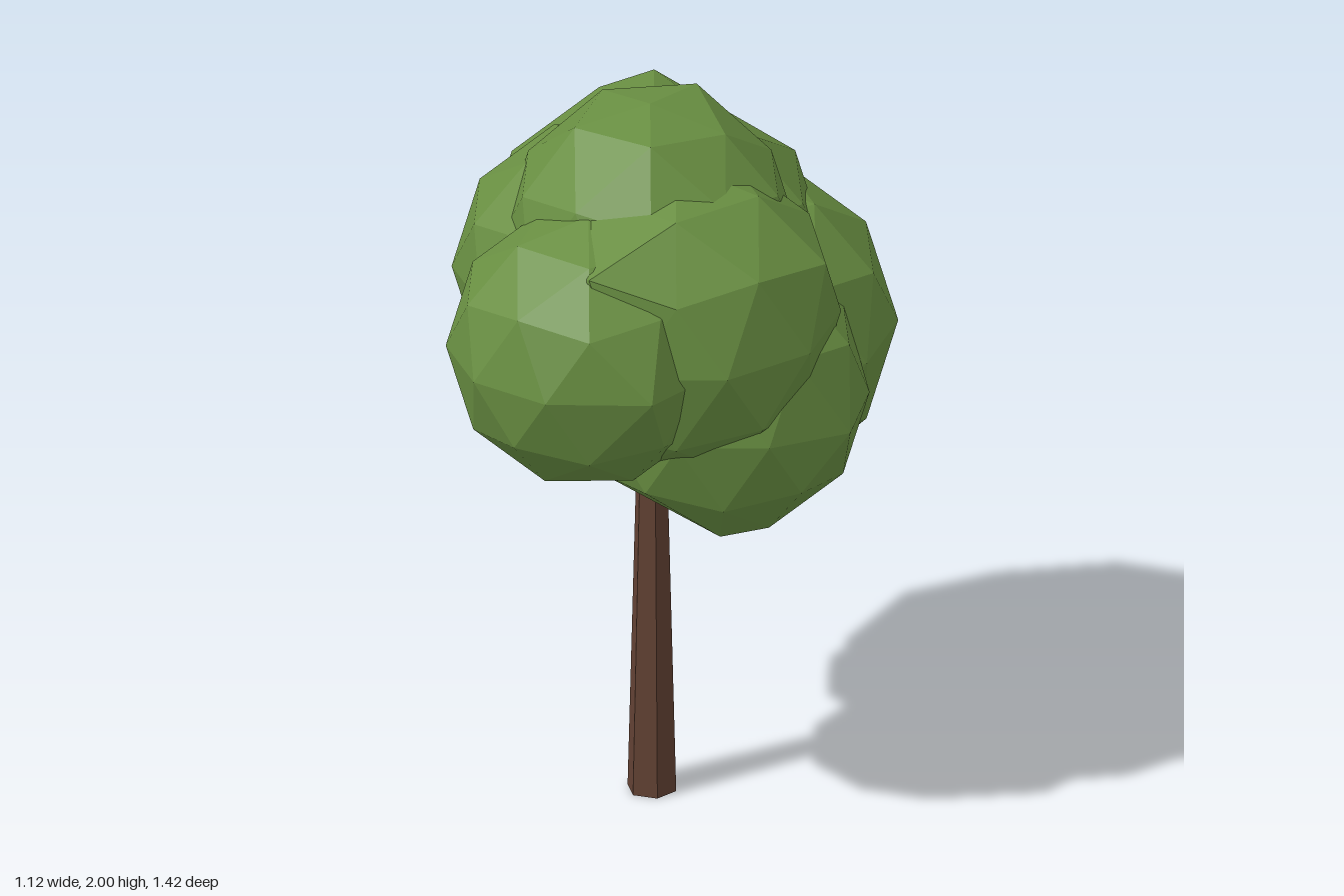
import * as THREE from 'three';

// Leaf clumps: name, centre, radius, and the uneven corners that stick out of the regular shape
const CLUMPS = [
  ['frontClump', [-0.1, 1.43, 0.333], 0.375, [[0.25, 1.43, 0.45], [-0.46, 1.43, 0.2], [0.17, 1.43, 0.63]]],
  ['frontLeftClump', [0.075, 1.46, 0.13], 0.435, [[-0.03, 1.73, 0.55], [0.49, 1.66, 0.13]]],
  ['crownClump', [-0.03, 1.605, 0.02], 0.395,
    [[0.035, 1.975, 0.22], [0.035, 1.975, -0.18], [-0.2, 1.96, 0.14], [-0.2, 1.96, -0.1]]],
  ['backClump', [-0.09, 1.45, -0.2], 0.46,
    [[-0.565, 1.47, -0.37], [-0.165, 1.865, -0.44], [-0.09, 1.42, -0.655]]],
  ['rightClump', [-0.19, 1.47, -0.05], 0.39, []],
  ['lowerBackClump', [0.1, 1.25, -0.27], 0.44,
    [[-0.15, 0.82, -0.27], [0.34, 0.86, -0.4], [0.03, 0.84, -0.5], [-0.32, 1.02, -0.27], [-0.02, 0.99, -0.64]]],
  ['lowerClump', [0.175, 1.21, 0.035], 0.39,
    [[0.175, 0.85, 0.035], [-0.06, 0.88, 0.05], [0.23, 0.87, 0.23], [0.23, 0.86, -0.12],
      [0.56, 1.18, 0.14], [0.54, 1.19, -0.09]]],
];

// Turns a corner of the icosahedron straight up, so each clump has poles and a level equator
const POLE_TILT = -Math.atan(2 / (1 + Math.sqrt(5)));

function clumpGeometry(center, radius, corners) {
  const geometry = new THREE.IcosahedronGeometry(radius, 1);
  geometry.rotateZ(POLE_TILT).translate(...center);
  const position = geometry.attributes.position;
  const point = new THREE.Vector3();
  // Pull the nearest corner of the clump out to each uneven corner
  for (const corner of corners) {
    const target = new THREE.Vector3(...corner);
    const distances = [];
    for (let i = 0; i < position.count; i++) {
      distances.push(point.fromBufferAttribute(position, i).distanceTo(target));
    }
    const nearest = Math.min(...distances);
    distances.forEach((d, i) => {
      if (d < nearest + 1e-4) position.setXYZ(i, ...corner);
    });
  }
  geometry.computeVertexNormals();
  return geometry;
}

export function createModel() {
  const tree = new THREE.Group();
  tree.name = 'tree';
  const bark = new THREE.MeshStandardMaterial({ color: 0x614133, flatShading: true, side: THREE.DoubleSide });
  bark.name = 'barkBrown';
  const leaf = new THREE.MeshStandardMaterial({ color: 0x698f42, flatShading: true });
  leaf.name = 'leafGreen';

  // Tapered six-sided trunk, open at the ends, running up into the foliage
  const trunk = new THREE.Mesh(new THREE.CylinderGeometry(0.036, 0.067, 1.2, 6, 1, true), bark);
  trunk.name = 'trunk';
  trunk.position.set(-0.025, 0.6, 0.02);
  trunk.rotation.y = Math.PI / 6;
  tree.add(trunk);

  // Overlapping faceted clumps of leaves
  const foliage = new THREE.Group();
  foliage.name = 'foliage';
  for (const [name, center, radius, corners] of CLUMPS) {
    const clump = new THREE.Mesh(clumpGeometry(center, radius, corners), leaf);
    clump.name = name;
    foliage.add(clump);
  }
  tree.add(foliage);
  return tree;
}
